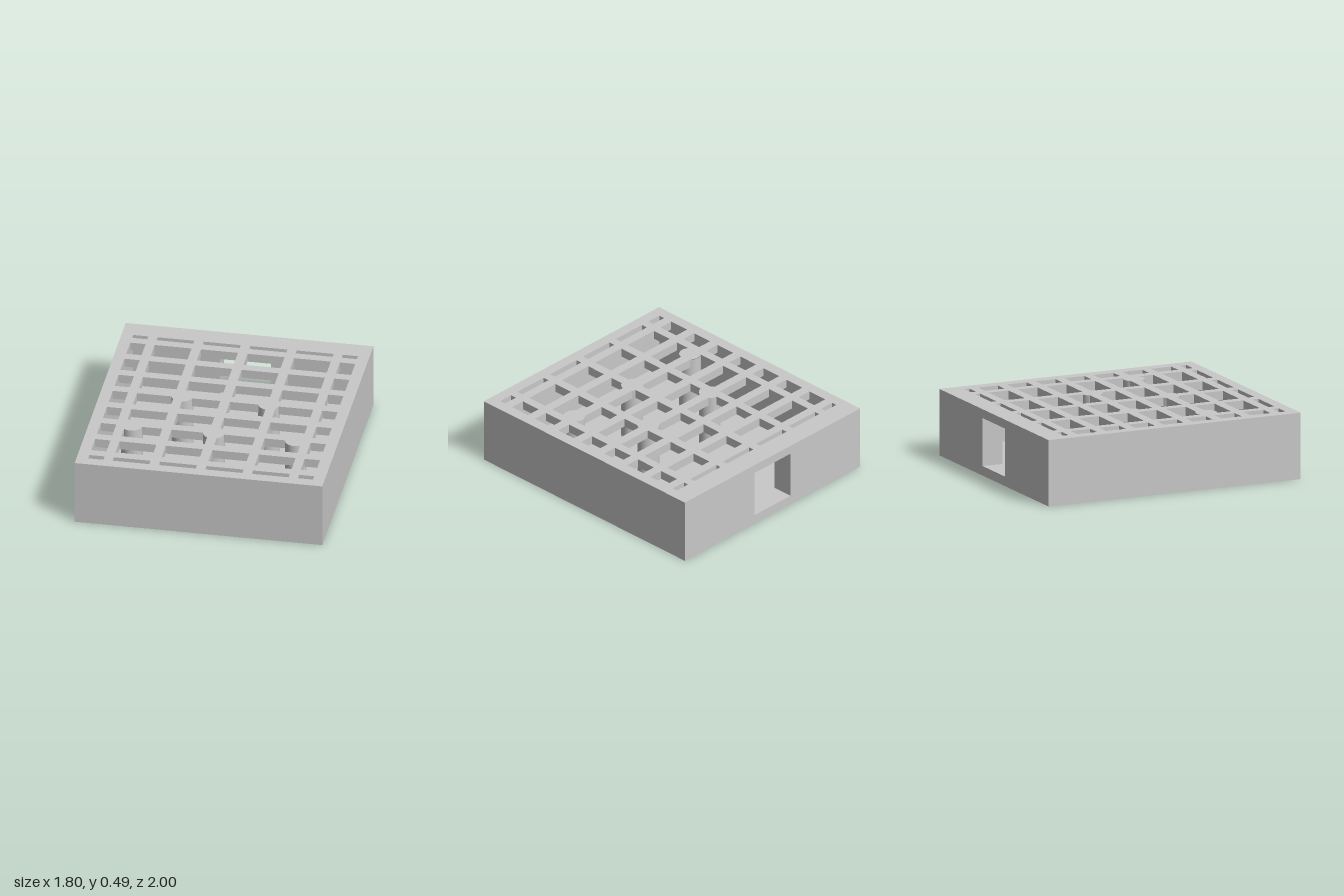
import * as THREE from 'three';
import { mergeGeometries } from 'three/addons/utils/BufferGeometryUtils.js';

const W = 0.9, D = 1, H = 0.487;            // outer half width, half depth, height
const FLOOR = 0.07, CEIL = 0.422;           // inner floor and underside of the lid
const IN_X = 0.817, IN_BACK = -0.843, IN_FRONT = 0.918;
const WIN = 0.185;                          // half width of the rear opening
const POST_R = 0.078;
const POSTS = [[-0.315, -0.07], [0.315, -0.07], [-0.595, 0.397], [0, 0.397], [0.595, 0.397]]
  .map(p => new THREE.Vector2(...p));

// Face numbers of a box, in BoxGeometry order
const PX = 0, NX = 1, PY = 2, NY = 3, PZ = 4, NZ = 5;

// Chosen faces of a box given by its ranges; inward turns them to face inside
function boxFaces([x0, x1], [y0, y1], [z0, z1], faces, inward = false) {
  const g = new THREE.BoxGeometry(x1 - x0, y1 - y0, z1 - z0);
  g.translate((x0 + x1) / 2, (y0 + y1) / 2, (z0 + z1) / 2);
  const index = [];
  for (const f of faces) {
    const part = Array.from(g.index.array.slice(f * 6, f * 6 + 6));
    index.push(...(inward ? part.reverse() : part));
  }
  g.setIndex(index);
  if (inward) g.attributes.normal.array.forEach((n, i, a) => { a[i] = -n; });
  return g;
}

function corners([x0, x1], [y0, y1]) {
  return [[x0, y0], [x1, y0], [x1, y1], [x0, y1]].map(p => new THREE.Vector2(...p));
}

// Flat sheet with holes, all given as lists of points
function sheet(outline, holes) {
  const shape = new THREE.Shape(outline);
  shape.holes = holes.map(h => new THREE.Path(h));
  return new THREE.ShapeGeometry(shape);
}

// Straight edges of a lid opening, leaving out what lies inside a post
function straightEdges(x, z) {
  const c = corners(x, z), edges = [];
  c.forEach((a, i) => {
    const b = c[(i + 1) % 4], length = a.distanceTo(b);
    const dir = b.clone().sub(a).divideScalar(length);
    const stops = [0, 1];
    for (const p of POSTS) {
      const v = p.clone().sub(a), along = v.dot(dir);
      const half2 = POST_R ** 2 - (v.lengthSq() - along ** 2);
      if (half2 <= 0) continue;
      for (const s of [-1, 1]) {
        const t = (along + s * Math.sqrt(half2)) / length;
        if (t > 0 && t < 1) stops.push(t);
      }
    }
    stops.sort((m, n) => m - n);
    for (let k = 1; k < stops.length; k++) {
      const from = a.clone().lerp(b, stops[k - 1]), to = a.clone().lerp(b, stops[k]);
      const mid = from.clone().lerp(to, 0.5);
      if (!POSTS.some(p => p.distanceTo(mid) < POST_R)) edges.push([from, to]);
    }
  });
  return edges;
}

// Closed outline of an opening: its straight edges joined by arcs round the posts
function outlineOf(edges) {
  const points = [];
  edges.forEach(([from, to], i) => {
    points.push(from);
    const next = edges[(i + 1) % edges.length][0];
    if (to.distanceTo(next) < 1e-6) return;
    points.push(to);
    const post = POSTS.find(p => Math.abs(p.distanceTo(to) - POST_R) < 1e-6);
    const start = to.clone().sub(post).angle();
    let sweep = next.clone().sub(post).angle() - start;
    sweep -= 2 * Math.PI * Math.round(sweep / (2 * Math.PI));
    for (let k = 1; k < 12; k++) {
      const angle = start + sweep * k / 12;
      points.push(new THREE.Vector2(Math.cos(angle), Math.sin(angle)).multiplyScalar(POST_R).add(post));
    }
  });
  return points;
}

// Upright side of a lid opening below one straight edge
function openingSide([a, b]) {
  const A = [a.x, H, a.y], B = [b.x, H, b.y], C = [b.x, CEIL, b.y], E = [a.x, CEIL, a.y];
  const g = new THREE.BufferGeometry();
  g.setAttribute('position', new THREE.Float32BufferAttribute([A, E, C, A, C, B].flat(), 3));
  g.computeVertexNormals();
  return g;
}

export function createModel() {
  const model = new THREE.Group();
  const grey = new THREE.MeshStandardMaterial({ color: 0xc8c8c8 });
  grey.name = 'grey';
  const add = (name, ...parts) => {
    const mesh = new THREE.Mesh(mergeGeometries(parts), grey);
    mesh.name = name;
    model.add(mesh);
    return mesh;
  };

  // Openings of the lid grid; the outermost ones are cut short by the walls
  const columns = [[0.035, 0.304], [0.372, 0.64], [0.706, IN_X]]
    .flatMap(([a, b]) => [[a, b], [-b, -a]]);
  const rows = [[IN_BACK, -0.802], [0.87, IN_FRONT]];
  for (let i = 0; i < 7; i++) {
    const z = -0.733 + i * 0.2292;
    rows.push([z, z + 0.157]);
  }
  const cells = columns.flatMap(x => rows.map(z => [x, z]));
  const cellEdges = cells.map(([x, z]) => straightEdges(x, z));

  // Outer walls and base
  add('outerShell', boxFaces([-W, W], [0, H], [-D, D], [PX, NX, NY, PZ]));
  const back = sheet(corners([-W, W], [0, H]), [corners([-WIN, WIN], [FLOOR, CEIL])]);
  add('backWall', back.rotateY(Math.PI).translate(0, 0, -D));

  // Inner walls and floor
  add('innerWalls',
    boxFaces([-IN_X, IN_X], [FLOOR, CEIL], [IN_BACK, IN_FRONT], [PX, NX, PZ], true),
    boxFaces([WIN, IN_X], [FLOOR, CEIL], [IN_BACK, IN_FRONT], [NZ], true),
    boxFaces([-IN_X, -WIN], [FLOOR, CEIL], [IN_BACK, IN_FRONT], [NZ], true));
  add('innerFloor', boxFaces([-0.86, 0.86], [0, FLOOR], [-D, 0.96], [PY]));
  add('rearOpeningSides', boxFaces([-WIN, WIN], [FLOOR, CEIL], [-D, IN_BACK], [PX, NX], true));

  // Grid lid: top, underside and the sides of every opening
  const flipped = cellEdges.map(e => outlineOf(e).map(p => new THREE.Vector2(p.x, -p.y)));
  const top = sheet(corners([-W, W], [-D, D]), flipped);
  add('lidTop', top.rotateX(-Math.PI / 2).translate(0, H, 0));
  const under = sheet(corners([-0.86, 0.86], [-D, 0.96]), cellEdges.map(outlineOf));
  add('lidUnderside', under.rotateX(Math.PI / 2).translate(0, CEIL, 0));
  add('lidOpenings', ...cellEdges.flat().map(openingSide));

  // Round posts rising from the floor into the lid
  const postHeight = H - 0.003 - FLOOR;
  for (const p of POSTS) {
    const post = add('post', new THREE.CylinderGeometry(POST_R, POST_R, postHeight, 72, 1, true));
    post.position.set(p.x, FLOOR + postHeight / 2, p.y);
  }
  return model;
}
